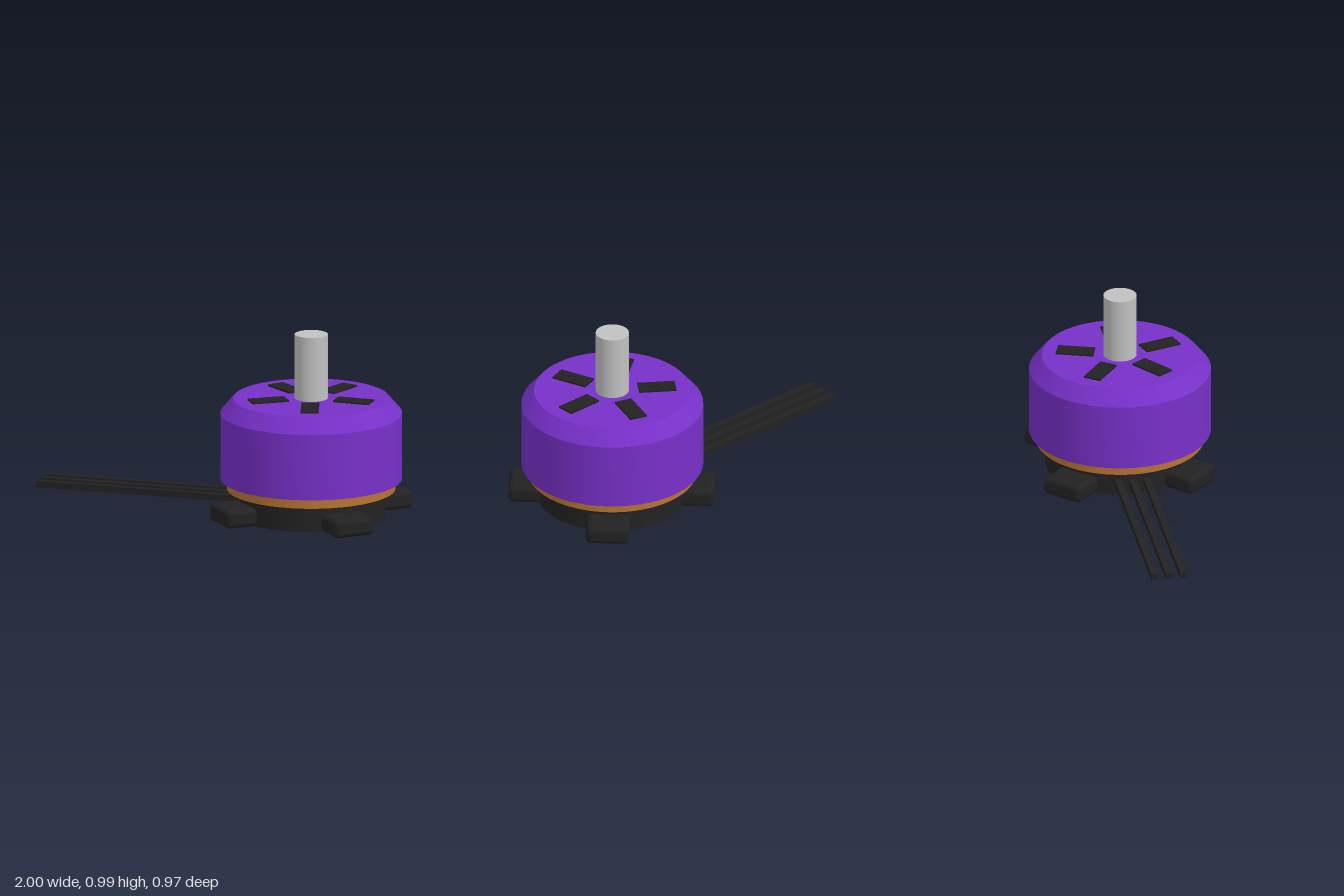
import * as THREE from 'three';
import { toCreasedNormals } from 'three/addons/utils/BufferGeometryUtils.js';
import { RoundedBoxGeometry } from 'three/addons/geometries/RoundedBoxGeometry.js';

const material = (name, color) => {
  const m = new THREE.MeshStandardMaterial({ color });
  m.name = name;
  return m;
};

export function createModel() {
  const purple = material('purple', 0x7730c8);
  const copper = material('copper', 0xb87333);
  const black = material('black', 0x222222);
  const steel = material('steel', 0xc0c0c0);

  const model = new THREE.Group();
  model.name = 'brushlessMotor';
  // everything but the wires turns about this axis
  const motor = new THREE.Group();
  motor.name = 'motorBody';
  motor.position.x = 0.517;
  model.add(motor);

  const add = (parent, name, geometry, mat, x = 0, y = 0, z = 0) => {
    const mesh = new THREE.Mesh(geometry, mat);
    mesh.name = name;
    mesh.position.set(x, y, z);
    parent.add(mesh);
    return mesh;
  };
  const disc = (name, radius, y0, y1, mat) =>
    add(motor, name, new THREE.CylinderGeometry(radius, radius, y1 - y0, 64), mat, 0, (y0 + y1) / 2);

  disc('base', 0.395, 0.003, 0.16, black);
  disc('statorWinding', 0.448, 0.145, 0.4, copper);
  disc('shaft', 0.088, 0.55, 0.988, steel);

  // hollow bell with a bevelled shoulder
  const profile = [
    [0, 0.6], [0.4, 0.6], [0.465, 0.54], [0.465, 0.2],
    [0.483, 0.2], [0.483, 0.558], [0.415, 0.638], [0, 0.638],
  ].map(([r, y]) => new THREE.Vector2(r, y));
  add(motor, 'bell', toCreasedNormals(new THREE.LatheGeometry(profile, 64), 0.4), purple);

  // four mounting feet on the diagonals
  for (let i = 0; i < 4; i++) {
    const pivot = new THREE.Group();
    pivot.name = 'mountingFoot';
    pivot.rotation.y = Math.PI / 4 + (i * Math.PI) / 2;
    add(pivot, 'foot', new RoundedBoxGeometry(0.3, 0.1, 0.235, 3, 0.03), black, 0.398, 0.05);
    motor.add(pivot);
  }

  // five vent slots around the shaft
  for (let i = 0; i < 5; i++) {
    const pivot = new THREE.Group();
    pivot.name = 'ventSlot';
    pivot.rotation.y = (i * Math.PI * 2) / 5;
    add(pivot, 'vent', new THREE.BoxGeometry(0.2, 0.009, 0.095), black, 0.238, 0.6425);
    motor.add(pivot);
  }

  // three wires, drooping slightly towards their free ends
  for (const z of [-0.077, 0, 0.077]) {
    const wire = add(model, 'wire', new THREE.BoxGeometry(1.25, 0.035, 0.036), black, -0.375, 0.067, z);
    wire.rotation.z = 0.013;
  }

  return model;
}
